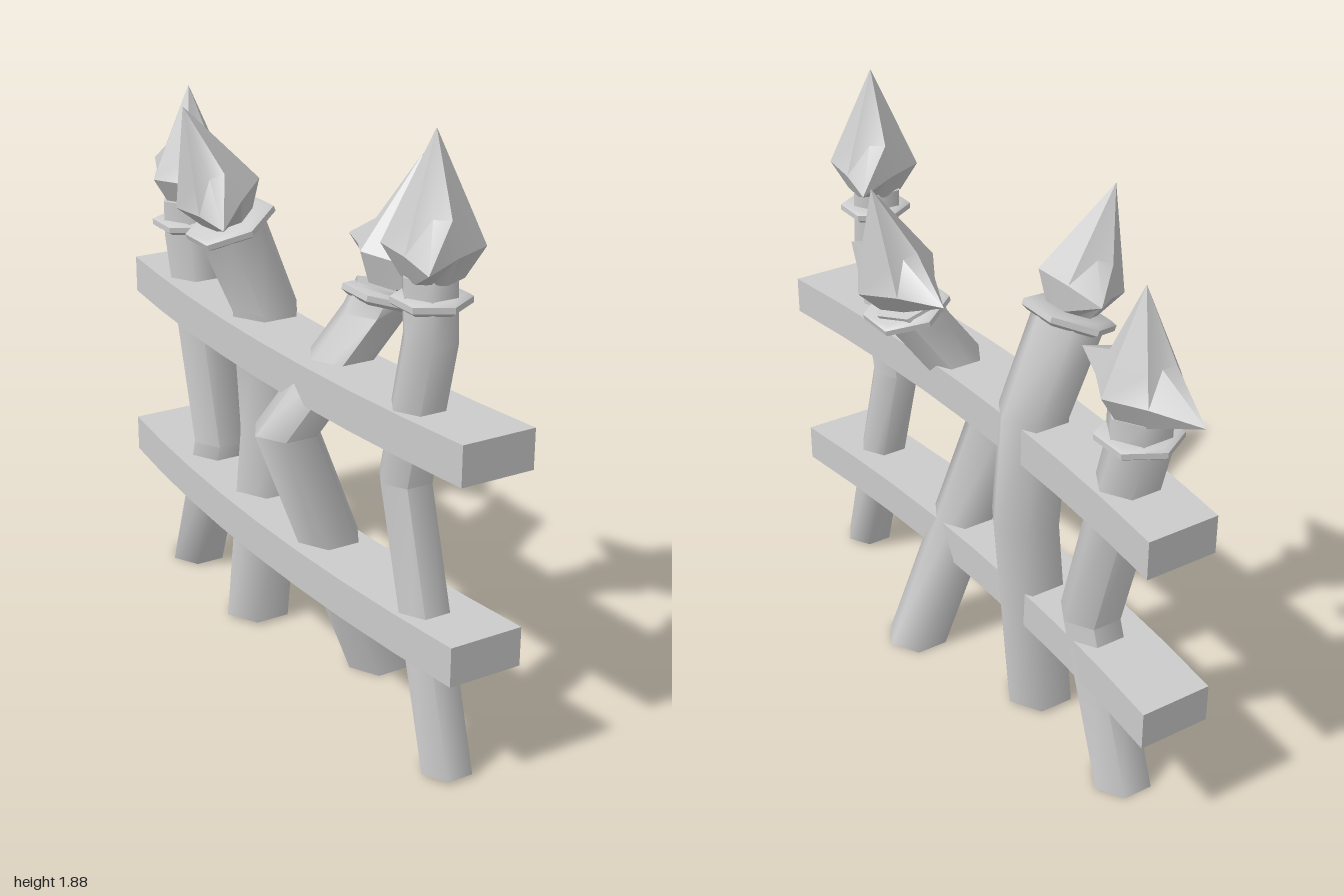
import * as THREE from 'three';
import { toCreasedNormals } from 'three/addons/utils/BufferGeometryUtils.js';

const material = new THREE.MeshStandardMaterial({ color: 0xcccccc });

// Skin a stack of equal-sized point loops (counter-clockwise from above) and cap both ends.
function loft(rings, crease = 1.1) {
  const n = rings[0].length;
  const index = [];
  for (let i = 0; i < rings.length - 1; i++) {
    for (let k = 0; k < n; k++) {
      const a = i * n + k, b = i * n + (k + 1) % n;
      index.push(a, b, b + n, a, b + n, a + n);
    }
  }
  const top = (rings.length - 1) * n;
  for (let k = 1; k < n - 1; k++) {
    index.push(0, k + 1, k, top, top + k, top + k + 1);
  }
  const geometry = new THREE.BufferGeometry().setFromPoints(rings.flat());
  geometry.setIndex(index);
  return toCreasedNormals(geometry, crease);
}

// Six-sided loop around the y axis.
function hexagon(r, y = 0, turn = 0) {
  return Array.from({ length: 6 }, (_, k) => {
    const t = k * Math.PI / 3 + turn;
    return new THREE.Vector3(Math.cos(t) * r, y, -Math.sin(t) * r);
  });
}

function addMesh(parent, geometry, name) {
  const mesh = new THREE.Mesh(geometry, material);
  mesh.name = name;
  parent.add(mesh);
  return mesh;
}

// Bent post: hexagonal sections along a path, the last one following the head's tilt.
function postGeometry(path, r, tilt) {
  const axis = new THREE.Vector3(0, 0, 1);
  return loft(path.map(([x, y, z], i) => hexagon(r).map((p) => {
    if (i === path.length - 1) p.applyAxisAngle(axis, tilt);
    return p.add(new THREE.Vector3(x, y, z));
  })));
}

// Collar: thin hexagonal band with bevelled edges.
function collarGeometry(r) {
  const turn = Math.PI / 6;
  return loft([
    hexagon(r * 0.85, -0.02, turn), hexagon(r, -0.008, turn),
    hexagon(r, 0.01, turn), hexagon(r * 0.85, 0.02, turn),
  ], 0.6);
}

// Spearhead: hexagonal bulb drawn up to a point, with a barb pulled out of two opposite sides.
function spearheadGeometry() {
  const profile = [[0.085, 0], [0.14, 0.09], [0.1, 0.18], [0.001, 0.4]];
  const angles = [0, 60, 90, 120, 180, 240, 270, 300];
  return loft(profile.map(([r, y], level) => angles.map((deg) => {
    const t = THREE.MathUtils.degToRad(deg);
    const barb = deg === 90 || deg === 270;
    const reach = barb ? (level === 1 ? 0.283 : r * 0.866) : r;
    return new THREE.Vector3(Math.cos(t) * reach, y, -Math.sin(t) * reach);
  })), 0.8);
}

// Rail: a box bowed gently towards -x along its length.
function railGeometry() {
  const geometry = new THREE.BoxGeometry(0.24, 0.125, 1.95, 1, 1, 8);
  geometry.translate(0, 0, 0.025);
  const position = geometry.attributes.position;
  for (let i = 0; i < position.count; i++) {
    const z = position.getZ(i);
    const bow = -0.042 + 0.016 * z + 0.066 * z * z;
    position.setX(i, position.getX(i) + bow);
  }
  return toCreasedNormals(geometry, 0.5);
}

const POSTS = [
  { // front post
    path: [[-0.025, 0.01, 0.895], [-0.025, 0.84, 0.65], [-0.025, 1.3, 0.757], [-0.025, 1.48, 0.745]],
    radius: 0.085, collar: [-0.02, 1.405, 0.748], collarRadius: 0.115,
    head: [-0.02, 1.47, 0.75], yaw: -0.636, tilt: 0, size: 1.02,
  },
  { // strongly bent post
    path: [[0.14, 0, 0.265], [-0.16, 0.85, 0.195], [0.1, 1.22, 0.28], [0.135, 1.29, 0.295]],
    radius: 0.108, collar: [0.13, 1.26, 0.3], collarRadius: 0.14,
    head: [0.138, 1.295, 0.31], yaw: 0, tilt: -0.25, size: 1,
  },
  { // thick post with its top bent away
    path: [[-0.035, 0.01, -0.225], [0.005, 0.7, -0.19], [-0.005, 1.1, -0.215], [-0.125, 1.4, -0.225]],
    radius: 0.117, collar: [-0.12, 1.39, -0.225], collarRadius: 0.147,
    head: [-0.13, 1.41, -0.225], yaw: -0.447, tilt: 0.38, size: 0.98,
  },
  { // back post
    path: [[-0.015, 0, -0.71], [-0.015, 0.53, -0.52], [-0.015, 1.22, -0.712], [-0.015, 1.34, -0.715]],
    radius: 0.1, collar: [-0.015, 1.255, -0.715], collarRadius: 0.13,
    head: [-0.01, 1.33, -0.72], yaw: 0, tilt: 0, size: 0.98,
  },
];

export function createModel() {
  const model = new THREE.Group();
  model.name = 'crookedFence';

  // Posts with collars and spearheads
  const spearhead = spearheadGeometry();
  for (const p of POSTS) {
    const group = new THREE.Group();
    group.name = 'fencePost';
    addMesh(group, postGeometry(p.path, p.radius, p.tilt), 'post');

    const collar = addMesh(group, collarGeometry(p.collarRadius), 'collar');
    collar.position.set(...p.collar);
    collar.rotation.z = p.tilt;

    const head = addMesh(group, spearhead, 'spearhead');
    head.position.set(...p.head);
    head.rotation.set(0, p.yaw, p.tilt, 'ZYX');
    head.scale.setScalar(p.size);
    model.add(group);
  }

  // Horizontal rails
  const rail = railGeometry();
  addMesh(model, rail, 'upperRail').position.set(0, 1.02, 0);
  addMesh(model, rail, 'lowerRail').position.set(-0.015, 0.412, 0);

  return model;
}
